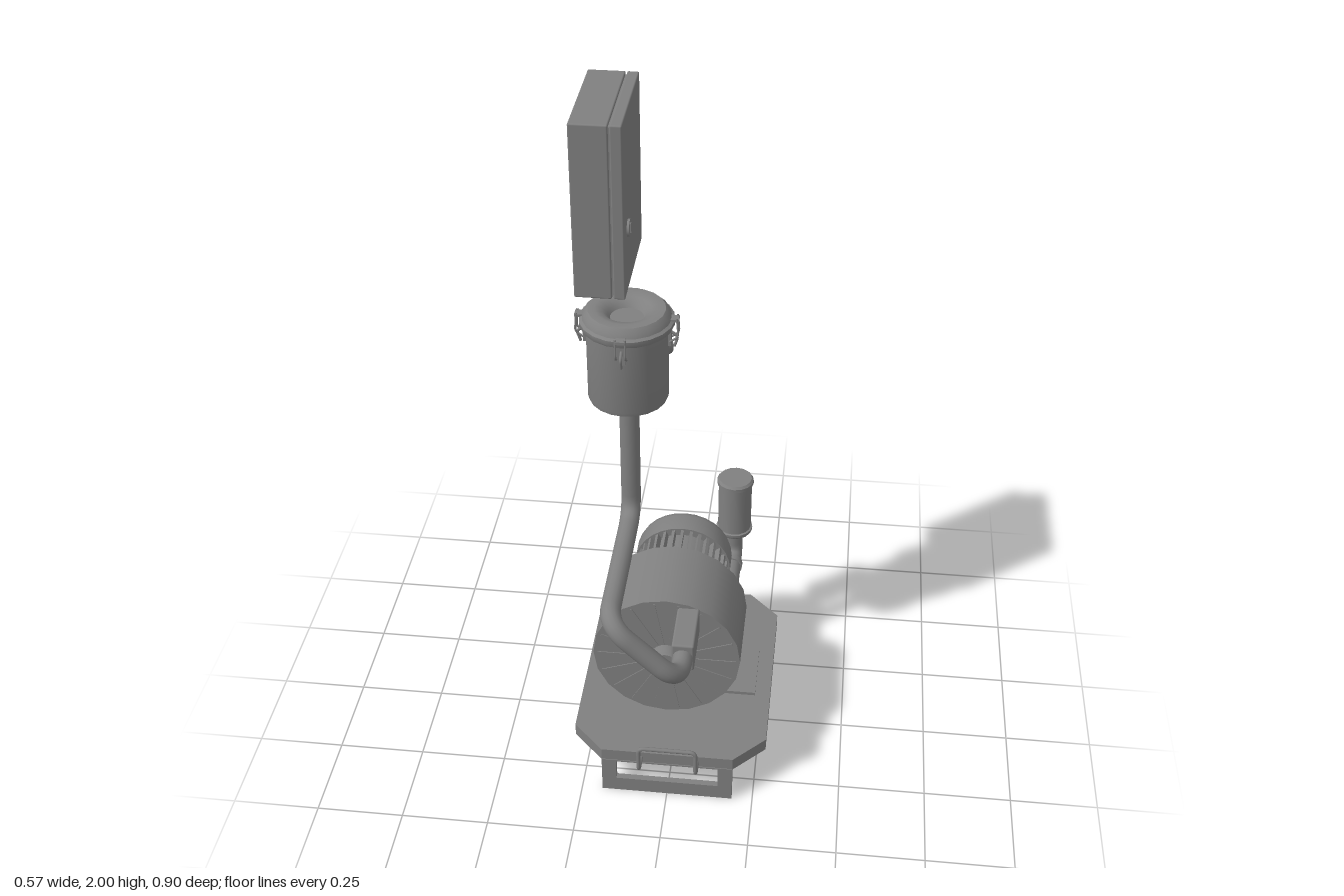
import * as THREE from 'three';
import { toCreasedNormals } from 'three/addons/utils/BufferGeometryUtils.js';
import { RoundedBoxGeometry } from 'three/addons/geometries/RoundedBoxGeometry.js';

const V = (x, y, z) => new THREE.Vector3(x, y, z);

export function createModel() {
  const model = new THREE.Group();
  model.name = 'vacuumUnit';
  const grey = new THREE.MeshStandardMaterial({ color: 0x808080 });
  grey.name = 'machineGrey';

  const add = (name, geo, x = 0, y = 0, z = 0, parent = model) => {
    const mesh = new THREE.Mesh(geo, grey);
    mesh.name = name;
    mesh.position.set(x, y, z);
    parent.add(mesh);
    return mesh;
  };
  const group = (name, x, y, z) => {
    const g = new THREE.Group();
    g.name = name;
    g.position.set(x, y, z);
    model.add(g);
    return g;
  };
  const shape = pts => new THREE.Shape(pts.map(p => new THREE.Vector2(...p)));
  const extrude = (s, depth) => new THREE.ExtrudeGeometry(s, { depth, bevelEnabled: false });
  const lathe = (pts, sides = 20) => toCreasedNormals(
    new THREE.LatheGeometry(pts.map(p => new THREE.Vector2(...p)), sides), 0.6);
  // Cylinder lying along z
  const zCylinder = (r, length, sides = 20) =>
    new THREE.CylinderGeometry(r, r, length, sides).rotateX(Math.PI / 2);

  // Tube through points, with each inner corner rounded off
  const pipe = (pts, radius, bend, steps = 90, sides = 14) => {
    const path = new THREE.CurvePath();
    let from = pts[0];
    for (let i = 1; i < pts.length - 1; i++) {
      const a = pts[i].clone().add(pts[i - 1].clone().sub(pts[i]).setLength(bend));
      const b = pts[i].clone().add(pts[i + 1].clone().sub(pts[i]).setLength(bend));
      path.add(new THREE.LineCurve3(from, a));
      path.add(new THREE.QuadraticBezierCurve3(a, pts[i], b));
      from = b;
    }
    path.add(new THREE.LineCurve3(from, pts[pts.length - 1]));
    return new THREE.TubeGeometry(path, steps, radius, sides);
  };

  // Base tray: octagonal plate with a rim below
  const octagon = inset => {
    const x = 0.28 - inset, f = 0.33 - inset, b = 0.39 - inset, c = 0.09 - inset * 0.4;
    return [[-x, -f + c], [-x + c, -f], [x - c, -f], [x, -f + c],
      [x, b - c], [x - c, b], [-x + c, b], [-x, b - c]];
  };
  add('basePlate', extrude(shape(octagon(0)), 0.012).rotateX(-Math.PI / 2), 0, 0.148, 0);
  const rim = shape(octagon(0));
  rim.holes.push(shape(octagon(0.015)));
  add('baseRim', extrude(rim, 0.028).rotateX(-Math.PI / 2), 0, 0.12, 0);

  // Foot frames and lifting handles at both ends
  const foot = shape([[-0.19, 0], [0.19, 0], [0.19, 0.122], [-0.19, 0.122]]);
  foot.holes.push(shape([[-0.148, 0.048], [0.148, 0.048], [0.148, 0.117], [-0.148, 0.117]]));
  for (const [end, edge, dir] of [['front', 0.33, 1], ['back', -0.385, -1]]) {
    add(end + 'Foot', extrude(foot, 0.018), 0, 0, dir > 0 ? 0.314 : -0.385);
    const out = edge + 0.05 * dir;
    add(end + 'Handle', pipe([V(-0.075, 0.14, edge - 0.01 * dir), V(-0.075, 0.14, out),
      V(-0.075, 0.229, out), V(0.088, 0.229, out), V(0.088, 0.14, out),
      V(0.088, 0.14, edge - 0.01 * dir)], 0.006, 0.018, 80, 8));
  }

  // Mounting bracket under the blower
  add('bracket', extrude(shape([[-0.19, 0.158], [0.235, 0.158], [0.235, 0.17], [0.11, 0.17],
    [0.06, 0.205], [-0.1, 0.205], [-0.15, 0.17], [-0.19, 0.17]]), 0.19), 0, 0, -0.127);

  // Blower drum with hub and radial ribs
  const blower = group('blower', -0.018, 0.392, 0);
  add('drum', zCylinder(0.212, 0.242), 0, 0, 0.05, blower);
  add('hub', lathe([[0, 0], [0.047, 0], [0.047, 0.03], [0.041, 0.037], [0, 0.037]])
    .rotateX(Math.PI / 2), 0, 0, 0.17, blower);
  for (let i = 0; i < 18; i++) {
    const rib = new THREE.BoxGeometry(0.15, 0.006, 0.003).translate(0.125, 0, 0);
    add('drumRib', rib.rotateZ(i * Math.PI / 9), 0, 0, 0.172, blower);
  }

  // Finned motor with a rounded rear cap
  const motor = group('motor', -0.015, 0.397, 0);
  add('motorCore', zCylinder(0.123, 0.18, 28), 0, 0, -0.15, motor);
  for (let i = 0; i < 32; i++) {
    const fin = new THREE.BoxGeometry(0.025, 0.009, 0.17).translate(0.128, 0, 0);
    add('motorFin', fin.rotateZ(i * Math.PI / 16), 0, 0, -0.15, motor);
  }
  add('motorCap', lathe([[0, 0], [0.146, 0], [0.146, 0.065], [0.141, 0.082],
    [0.13, 0.092], [0.115, 0.096], [0, 0.096]], 28).rotateX(-Math.PI / 2), 0, 0, -0.23, motor);

  // Suction port and pipe up to the filter
  add('suctionPort', new RoundedBoxGeometry(0.062, 0.09, 0.16, 2, 0.006), 0.045, 0.538, 0.245);
  add('suctionPipe', pipe([V(0.045, 0.54, 0.3), V(0.045, 0.54, 0.42), V(-0.145, 0.728, 0.42),
    V(-0.145, 0.728, -0.065), V(-0.145, 1.13, -0.065)], 0.028, 0.075, 120, 16));

  // Exhaust pipe and silencer
  add('exhaustPipe', pipe([V(0.13, 0.333, -0.06), V(0.13, 0.333, -0.39),
    V(0.13, 0.44, -0.39)], 0.028, 0.05, 50));
  add('exhaustCollar', zCylinder(0.032, 0.02, 16), 0.13, 0.333, -0.33);
  add('silencer', lathe([[0, 0], [0.053, 0], [0.056, 0.005], [0.056, 0.014], [0.051, 0.016],
    [0.051, 0.18], [0.056, 0.182], [0.056, 0.193], [0.05, 0.2], [0, 0.2]], 16), 0.13, 0.425, -0.395);

  // Filter canister with dished lid
  const filter = group('filter', -0.146, 0, -0.065);
  add('filterNeck', new THREE.CylinderGeometry(0.036, 0.036, 0.03, 18), 0, 1.123, 0, filter);
  add('canister', lathe([[0, 1.13], [0.098, 1.13], [0.108, 1.135], [0.111, 1.147],
    [0.111, 1.365], [0, 1.365]]), 0, 0, 0, filter);
  add('lid', lathe([[0.1, 1.362], [0.125, 1.362], [0.128, 1.368], [0.128, 1.38], [0.12, 1.385],
    [0.115, 1.398], [0.104, 1.409], [0.085, 1.41], [0.066, 1.405], [0.052, 1.392],
    [0.045, 1.382], [0, 1.382]]), 0, 0, 0, filter);
  const nozzle = new THREE.CylinderGeometry(0.037, 0.037, 0.05, 18).rotateZ(-Math.PI / 2);
  add('nozzle', nozzle.translate(0.103, 0, 0).rotateY(Math.PI / 4), 0, 1.255, 0, filter);

  // Four lid clips
  for (let i = 0; i < 4; i++) {
    const clip = new THREE.Group();
    clip.name = 'lidClip';
    clip.rotation.y = i * Math.PI / 2;
    filter.add(clip);
    add('clipBase', new THREE.BoxGeometry(0.008, 0.06, 0.022), 0.114, 1.335, 0, clip);
    add('clipHook', new THREE.BoxGeometry(0.03, 0.008, 0.026), 0.124, 1.384, 0, clip);
    for (const s of [-1, 1]) {
      add('clipWire', pipe([V(0.115, 1.32, s * 0.013), V(0.138, 1.335, s * 0.013),
        V(0.134, 1.392, s * 0.013)], 0.003, 0.012, 12, 6), 0, 0, 0, clip);
    }
    add('clipLever', pipe([V(0.116, 1.345, 0), V(0.136, 1.33, 0), V(0.126, 1.3, 0)],
      0.004, 0.01, 12, 6), 0, 0, 0, clip);
  }

  // Control cabinet with door, lock and hinges
  const cabinet = group('controlCabinet', -0.19, 1.765, -0.063);
  add('cabinetBody', new RoundedBoxGeometry(0.096, 0.47, 0.322, 2, 0.004), -0.017, 0, 0, cabinet);
  add('doorGasket', new THREE.BoxGeometry(0.02, 0.456, 0.308), 0.03, 0, 0, cabinet);
  add('cabinetDoor', new RoundedBoxGeometry(0.03, 0.47, 0.322, 2, 0.004), 0.05, 0, 0, cabinet);
  add('lock', new THREE.CylinderGeometry(0.022, 0.022, 0.008, 18).rotateZ(Math.PI / 2),
    0.067, -0.066, 0.094, cabinet);
  add('lockSlot', new THREE.BoxGeometry(0.004, 0.026, 0.006), 0.072, -0.066, 0.094, cabinet);
  for (const y of [0.1, -0.085]) {
    add('hinge', new THREE.CylinderGeometry(0.006, 0.006, 0.016, 10), 0.033, y, -0.163, cabinet);
  }

  return model;
}
